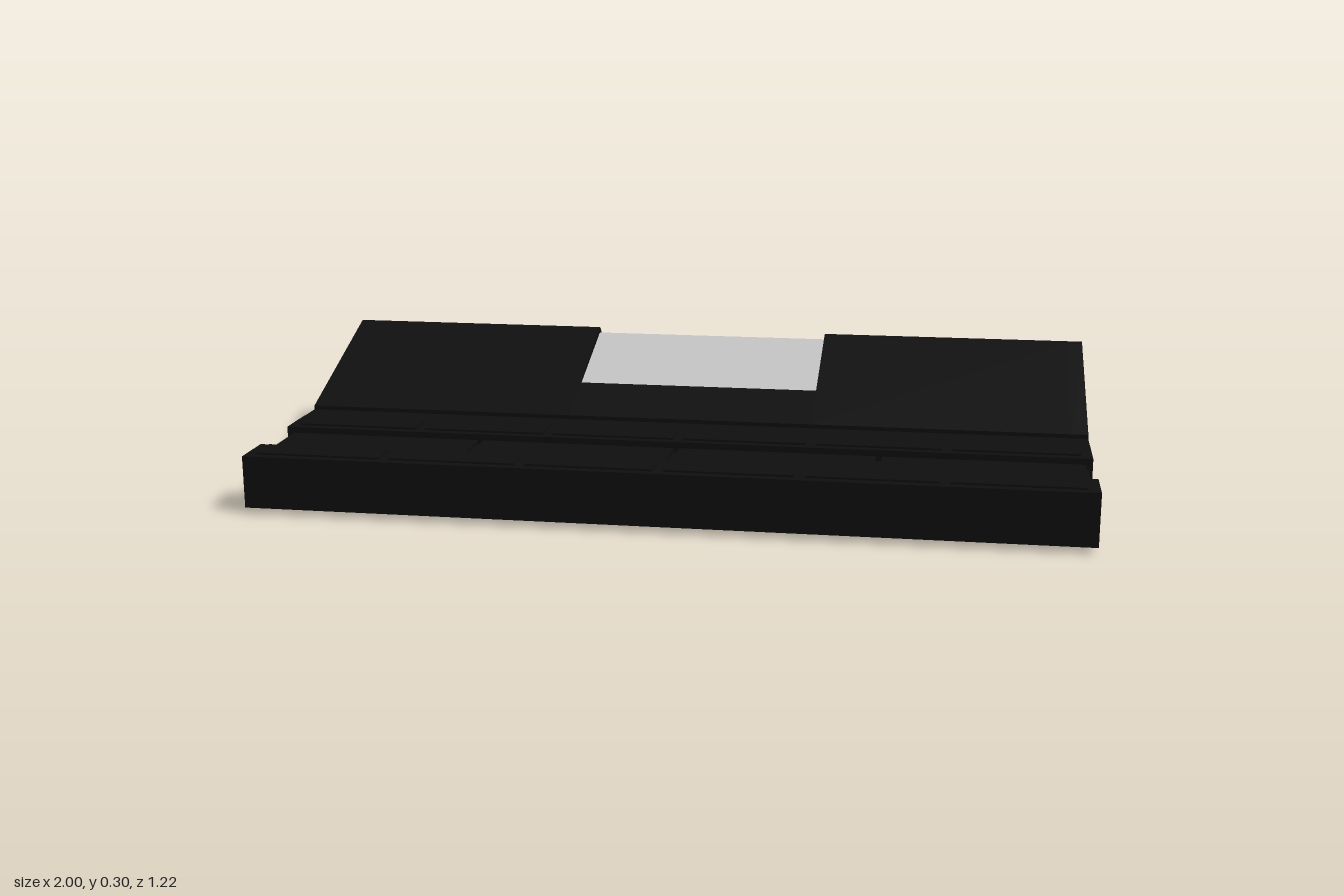
import * as THREE from 'three';

const black = new THREE.MeshStandardMaterial({ color: 0x0f0f0f });
black.name = 'black';
const glass = new THREE.MeshStandardMaterial({ color: 0xc4c4c4 });
glass.name = 'pale glass';

export function createModel() {
  const model = new THREE.Group();
  model.name = 'skylightRoof';

  function add(name, geometry, material = black) {
    const mesh = new THREE.Mesh(geometry, material);
    mesh.name = name;
    model.add(mesh);
    return mesh;
  }

  // Extrude a [z, y] cross-section along x, with an optional hole
  function prism(name, points, x0, x1, material = black, hole = null) {
    const toVectors = (list) => list.map(([z, y]) => new THREE.Vector2(-z, y));
    const shape = new THREE.Shape(toVectors(points));
    if (hole) shape.holes.push(new THREE.Path(toVectors(hole)));
    const geo = new THREE.ExtrudeGeometry(shape, { depth: x1 - x0, bevelEnabled: false });
    geo.rotateY(Math.PI / 2).translate(x0, 0, 0);
    return add(name, geo, material);
  }

  // Box from its limits
  function block(name, x0, x1, y0, y1, z0, z1) {
    const geo = new THREE.BoxGeometry(x1 - x0, y1 - y0, z1 - z0);
    geo.translate((x0 + x1) / 2, (y0 + y1) / 2, (z0 + z1) / 2);
    return add(name, geo);
  }

  // Roof on both sides of the skylight, with recessed gable walls
  const eave = [[0.212, 0.02], [0.212, 0.14], [0.14, 0.14], [0.14, 0.15]];
  const roof = [...eave,
    [-0.243, 0.298], [-0.255, 0.302], [-0.267, 0.296],
    [-0.46, 0.055], [-0.47, 0.02]];
  const gableHole = [[0.14, 0.03], [0.14, 0.112], [-0.245, 0.256], [-0.435, 0.03]];
  for (const side of [-1, 1]) {
    const span = (a, b) => (side > 0 ? [a, b] : [-b, -a]);
    prism('roofSide', roof, ...span(0.31, 0.95));
    prism('gableRim', roof, ...span(0.95, 0.99), black, gableHole);
  }

  // Roof in front of and behind the skylight, open to a tapered light shaft
  prism('roofBelowSkylight', [...eave, [0, 0.204], [0, 0.187], [0.19, 0.02]], -0.31, 0.31);
  prism('roofBehindSkylight',
    [[-0.38, 0.155], [-0.46, 0.055], [-0.47, 0.02], [-0.39, 0.02], [-0.38, 0.14]], -0.31, 0.31);

  // Skylight folded over the ridge
  prism('skylightGlass',
    [[0, 0.195], [-0.255, 0.287], [-0.38, 0.145], [-0.38, 0.137], [-0.255, 0.279], [0, 0.187]],
    -0.31, 0.31, glass);

  // Two block courses with raised pads
  for (const [z0, z1] of [[0.212, 0.328], [0.498, 0.61]]) {
    block('blockCourse', -0.99, 0.99, 0.015, 0.141, z0, z1);
    for (let i = 0; i < 6; i++) {
      const x = (i - 2.5) * 0.325;
      block('blockPad', x - 0.15, x + 0.15, 0.141, 0.146, z0 + 0.015, z1 - 0.02);
    }
  }

  // Paving between the courses, in slabs with narrow joints
  block('pavingBase', -0.98, 0.98, 0.02, 0.115, 0.328, 0.498);
  for (let i = 0; i < 4; i++) {
    const x = (i - 1.5) * 0.49;
    block('pavingSlab', x - 0.238, x + 0.238, 0.115, 0.126, 0.328, 0.498);
  }

  // Stepped rails along the back edge
  const rails = [
    [1, 0.002, 0.058, -0.482, -0.464],
    [1, 0.01, 0.05, -0.51, -0.482],
    [0.985, 0.018, 0.042, -0.526, -0.51],
    [1, 0.012, 0.05, -0.594, -0.526],
    [1, 0, 0.06, -0.61, -0.594],
  ];
  for (const [w, y0, y1, z0, z1] of rails) block('backRail', -w, w, y0, y1, z0, z1);

  return model;
}
